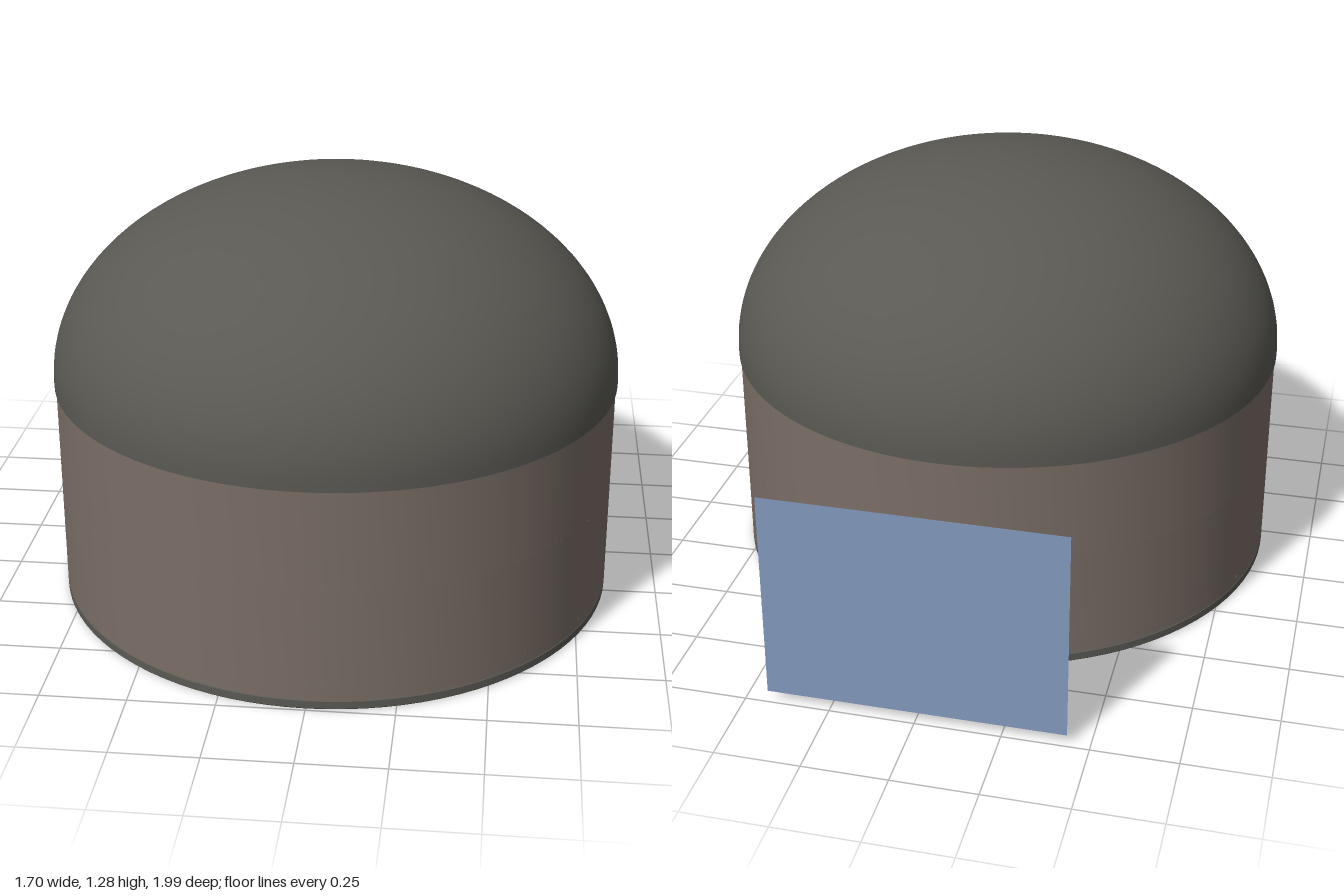
import * as THREE from 'three';
import { toCreasedNormals } from 'three/addons/utils/BufferGeometryUtils.js';

const SEG = 96, CZ = 0.15;           // roundness and centre of the round house
const R = 0.845, R_IN = 0.815;       // wall radii
const DOOR = 0.13;                   // half angle of the doorway
const FLOOR = 0.03, SILL = 0.055, HEAD = 0.37, EAVE = 0.675, TOP = 1.28;

export function createModel() {
  const model = new THREE.Group();
  const stone = new THREE.MeshStandardMaterial({ color: 0x7a6e66 });
  const dark = new THREE.MeshStandardMaterial({ color: 0x5a5953 });
  const blue = new THREE.MeshStandardMaterial({ color: 0x829abf, side: THREE.DoubleSide });

  const add = (name, geometry, material, parent = model) => {
    const mesh = new THREE.Mesh(geometry, material);
    mesh.name = name;
    parent.add(mesh);
    return mesh;
  };
  // Revolve a profile of [radius, height] pairs, keeping its corners sharp
  const turn = (profile, start = 0, length = Math.PI * 2) => toCreasedNormals(
    new THREE.LatheGeometry(profile.map(p => new THREE.Vector2(...p)), SEG, start, length), 0.5);
  const ring = (y0, y1, start, length) =>
    turn([[R, y0], [R, y1], [R_IN, y1], [R_IN, y0], [R, y0]], start, length);

  const house = new THREE.Group();
  house.name = 'roundHouse';
  house.position.z = CZ;
  model.add(house);

  // Floor slab with a fine chamfer
  add('floor', turn([[0, 0], [R - 0.004, 0], [R, 0.004], [R, FLOOR - 0.004], [R - 0.004, FLOOR], [0, FLOOR]]), dark, house);

  // Hollow wall, open at the back for the doorway
  const walls = new THREE.Group();
  walls.name = 'walls';
  house.add(walls);
  add('sill', ring(FLOOR, SILL), stone, walls);
  add('lowerWall', ring(SILL, HEAD, Math.PI + DOOR, Math.PI * 2 - DOOR * 2), stone, walls);
  add('upperWall', ring(HEAD, EAVE), stone, walls);
  for (const side of [-1, 1]) {
    const angle = Math.PI + side * DOOR, mid = (R + R_IN) / 2;
    const jamb = add('doorJamb', new THREE.PlaneGeometry(R - R_IN, HEAD - SILL), stone, walls);
    jamb.position.set(mid * Math.sin(angle), (HEAD + SILL) / 2, mid * Math.cos(angle));
    jamb.rotation.y = angle + side * -Math.PI / 2 + Math.PI / 2 + (side > 0 ? Math.PI : 0);
    // Face the jamb across the opening
    jamb.rotation.y = side > 0 ? angle - Math.PI / 2 - Math.PI / 2 : angle;
  }

  // Hollow flattened dome with a short upright rim
  const arc = (r, y, h) => Array.from({ length: 33 }, (_, i) => {
    const t = i / 32 * Math.PI / 2;
    return [i === 32 ? 0 : r * Math.cos(t), y + h * Math.sin(t)];
  });
  add('dome', turn([
    [R_IN, EAVE - 0.005], [0.85, EAVE - 0.005], ...arc(0.85, 0.69, TOP - 0.69),
  ]), dark, house);
  add('ceiling', turn(arc(R_IN, EAVE - 0.005, TOP - 0.03 - EAVE).reverse()), dark, house);

  // Thin freestanding screen behind the doorway
  const screen = add('screen', new THREE.PlaneGeometry(0.87, 0.64), blue);
  screen.position.set(0, 0.35, -0.99);
  screen.rotation.y = Math.PI;

  // Let the jambs show from either side of the opening
  walls.traverse(o => { if (o.name === 'doorJamb') o.material = Object.assign(stone.clone(), { side: THREE.DoubleSide }); });
  return model;
}
